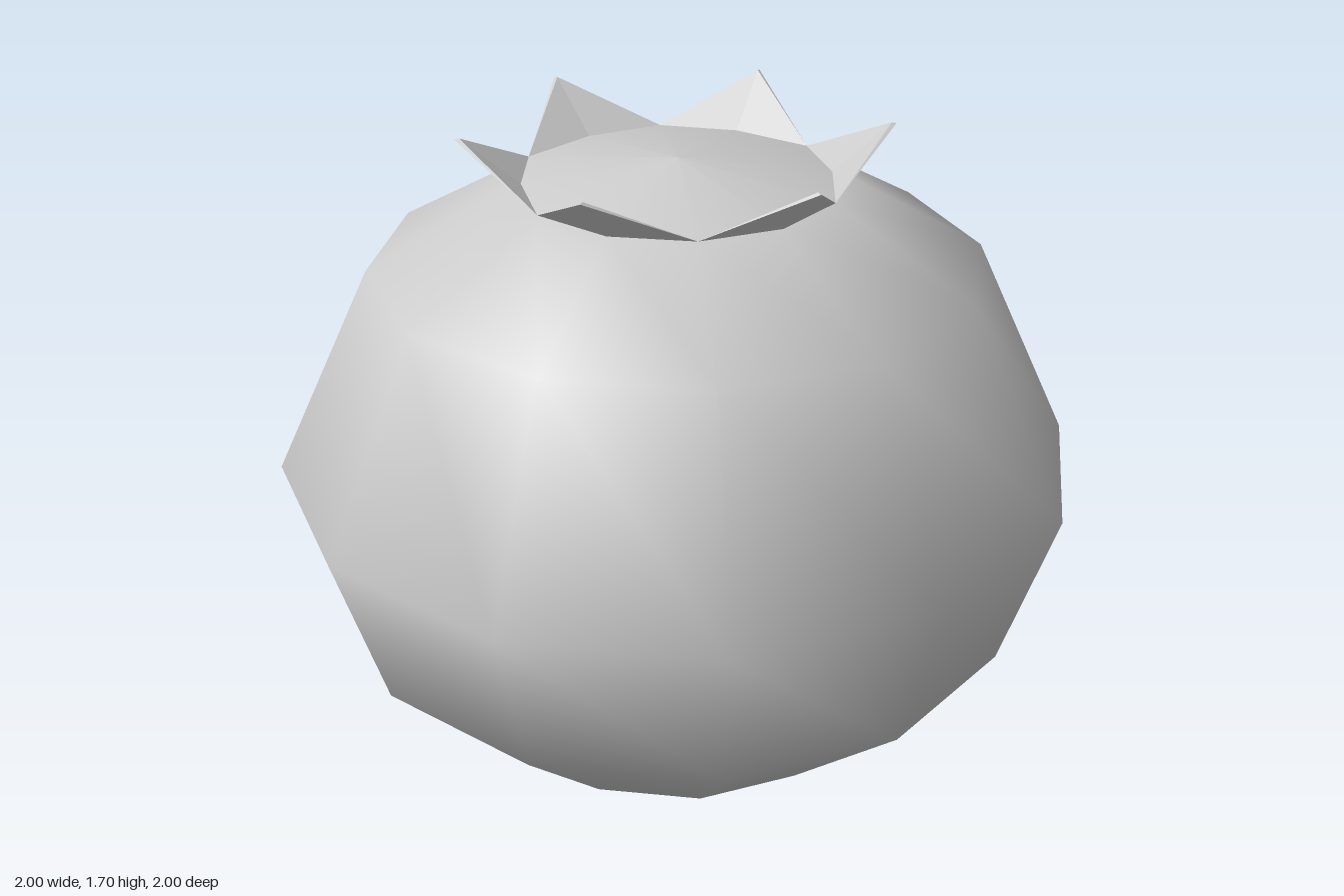
import * as THREE from 'three';

const material = new THREE.MeshStandardMaterial({ color: 0xcccccc });

// Point at a given angle around the y axis
const polar = (angle, radius, y) => [radius * Math.sin(angle), y, radius * Math.cos(angle)];

// Pointed sepal: folded outer and inner faces between two ring corners
function createSepal(angle) {
  const step = Math.PI / 6;
  const a = polar(angle - step, 0.4, 1.58);
  const b = polar(angle + step, 0.4, 1.58);
  const outer = polar(angle, 0.4, 1.58);
  const inner = polar(angle, 0.375, 1.584);
  const tipOuter = polar(angle, 0.527, 1.7);
  const tipInner = polar(angle, 0.515, 1.702);
  const faces = [
    a, outer, tipOuter, outer, b, tipOuter, // outside
    inner, a, tipInner, b, inner, tipInner, // inside
    a, tipOuter, tipInner, tipOuter, b, tipInner, // thin rim
  ];
  const geometry = new THREE.BufferGeometry();
  geometry.setAttribute('position', new THREE.Float32BufferAttribute(faces.flat(), 3));
  geometry.computeVertexNormals();
  const sepal = new THREE.Mesh(geometry, material);
  sepal.name = 'sepal';
  return sepal;
}

export function createModel() {
  const model = new THREE.Group();
  model.name = 'pomegranate';

  // Round fruit, fuller below and tapering to the crown
  const profile = [[0, 0], [0.5, 0.12], [0.866, 0.445], [1, 0.86], [0.755, 1.378], [0.4, 1.58], [0, 1.635]]
    .map(([r, y]) => new THREE.Vector2(r, y));
  const fruit = new THREE.Mesh(new THREE.LatheGeometry(profile, 12), material);
  fruit.name = 'fruit';
  model.add(fruit);

  // Six-pointed crown, one point facing the front
  const crown = new THREE.Group();
  crown.name = 'crown';
  for (let i = 0; i < 6; i++) crown.add(createSepal((i * Math.PI) / 3));
  model.add(crown);

  return model;
}
